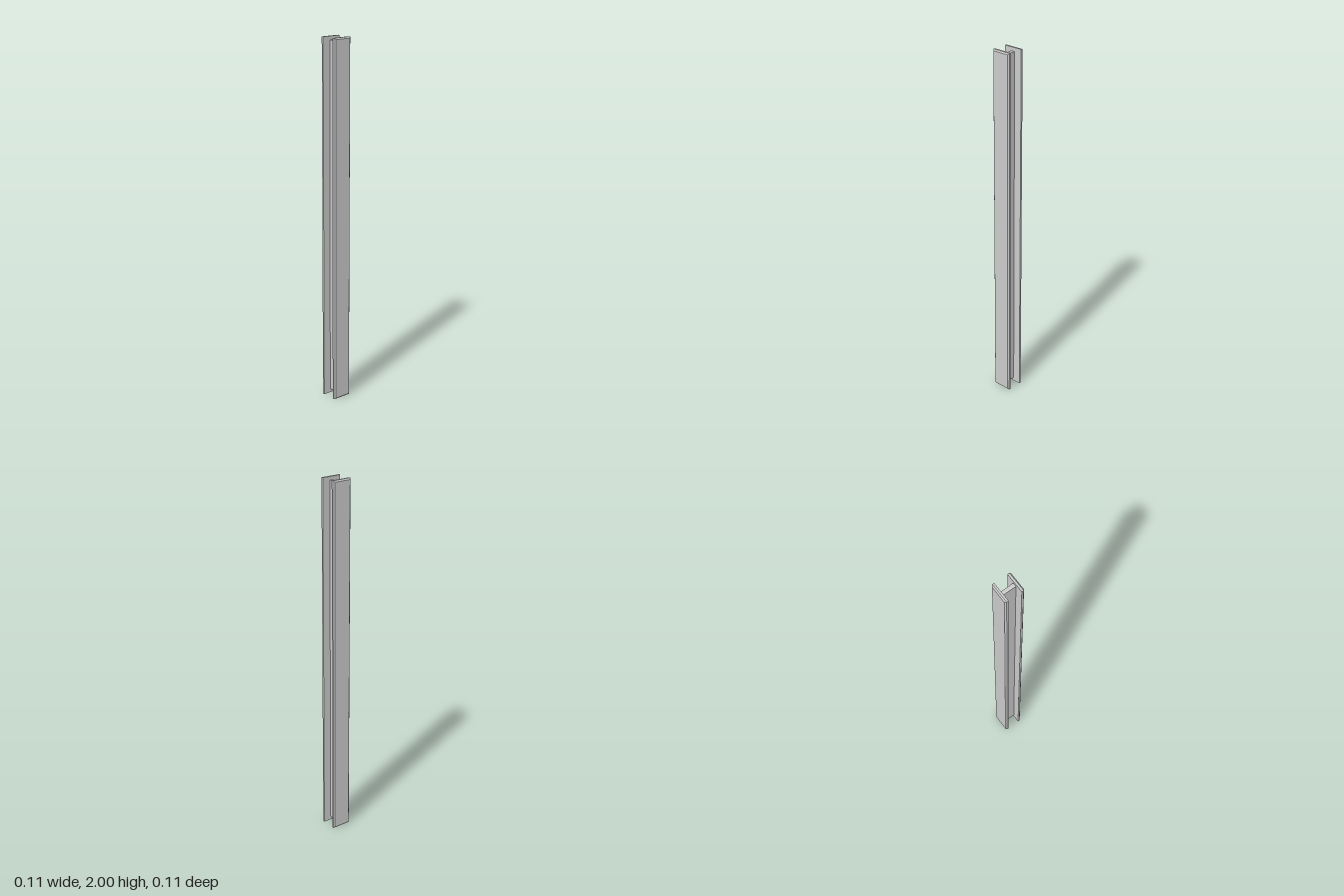
import * as THREE from 'three';
import { ConvexGeometry } from 'three/addons/geometries/ConvexGeometry.js';

const H = 2, HALF = 0.055, INNER = 0.037, CHAMFER = 0.007;

// Flat plate whose outer face has chamfered edges all round
function flangeGeometry(side) {
  const points = [];
  const rings = [[INNER, 0], [HALF - CHAMFER, 0], [HALF, CHAMFER]]; // x, inset
  for (const [x, inset] of rings)
    for (const y of [inset, H - inset])
      for (const z of [-HALF + inset, HALF - inset])
        points.push(new THREE.Vector3(side * x, y, z));
  return new ConvexGeometry(points);
}

export function createModel() {
  const group = new THREE.Group();
  group.name = 'hBeam';
  const material = new THREE.MeshStandardMaterial({ color: 0xcccccc, flatShading: true });

  // Two flanges, mirrored
  for (const side of [-1, 1]) {
    const flange = new THREE.Mesh(flangeGeometry(side), material);
    flange.name = side > 0 ? 'leftFlange' : 'rightFlange';
    group.add(flange);
  }

  // Web joining the flanges, slightly shorter than them
  const web = new THREE.Mesh(new THREE.BoxGeometry(2 * INNER + 0.002, H - 0.04, 0.021), material);
  web.name = 'web';
  web.position.y = H / 2;
  group.add(web);

  return group;
}
